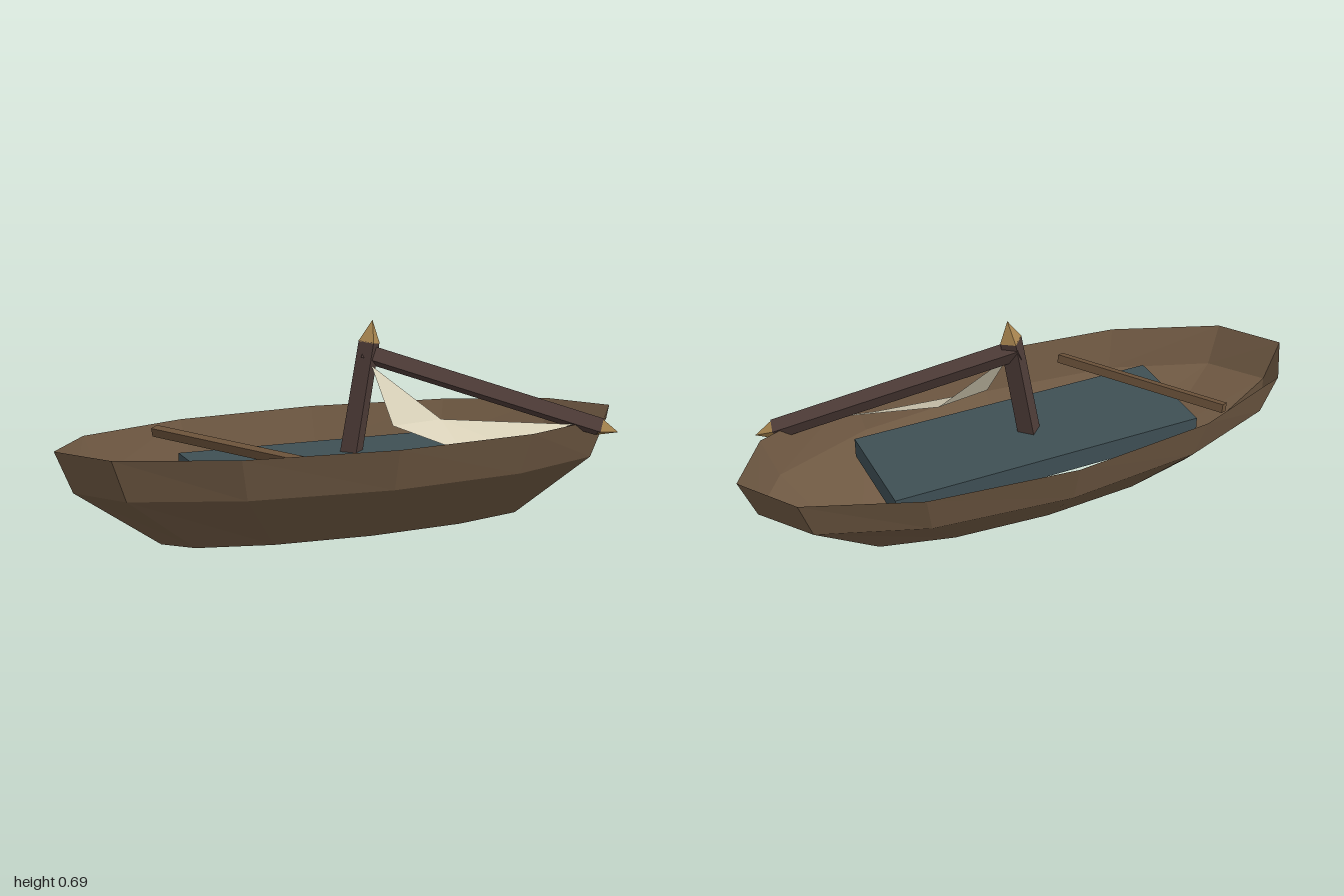
import * as THREE from 'three';

const mat = (name, color, extra = {}) => {
  const m = new THREE.MeshStandardMaterial({ color, flatShading: true, ...extra });
  m.name = name;
  return m;
};

export function createModel() {
  const hullWood = mat('hull brown', 0x6e5842, { side: THREE.DoubleSide });
  const deckPaint = mat('deck slate', 0x3e4f54);
  const sparWood = mat('dark spar wood', 0x4e3c38);
  const tipMetal = mat('tan tip', 0xa8854f);
  const oarWood = mat('oar wood', 0x6b523a);
  const sailCloth = mat('sail cloth', 0xd8d0b8, { side: THREE.DoubleSide });

  const boat = new THREE.Group();
  boat.name = 'boat';
  const add = (name, geometry, material) => {
    const mesh = new THREE.Mesh(geometry, material);
    mesh.name = name;
    boat.add(mesh);
    return mesh;
  };

  // Four-sided bar running from a to b
  const bar = (name, a, b, r0, r1, material) => {
    const start = new THREE.Vector3(...a), end = new THREE.Vector3(...b);
    const dir = end.clone().sub(start);
    const mesh = add(name, new THREE.CylinderGeometry(r1, r0, dir.length(), 4), material);
    mesh.position.copy(start).add(end).multiplyScalar(0.5);
    mesh.quaternion.setFromUnitVectors(new THREE.Vector3(0, 1, 0), dir.normalize());
    return mesh;
  };

  // Hull: open twelve-sided shell, rings of [y, half length, half width]
  const rings = [[0, 0.667, 0.167], [0.197, 0.945, 0.35], [0.335, 1, 0.39]];
  const hull = new THREE.LatheGeometry(rings.map(([y, l]) => new THREE.Vector2(l, y)), 12);
  const pos = hull.attributes.position;
  for (let i = 0; i < pos.count; i++) {
    const [, length, width] = rings[i % rings.length];
    pos.setZ(i, pos.getZ(i) * width / length);
  }
  hull.computeVertexNormals();
  add('hull', hull, hullWood);

  // Deck slab
  add('deck', new THREE.BoxGeometry(1.1, 0.07, 0.38), deckPaint).position.y = 0.217;

  // Leaning mast and its pointed cap
  bar('mast', [-0.008, 0.22, -0.003], [0.061, 0.618, -0.003], 0.041, 0.038, sparWood);
  bar('mastTip', [0.061, 0.616, -0.003], [0.073, 0.69, -0.003], 0.039, 0, tipMetal);

  // Fallen yard and its pointed end
  bar('yard', [0.04, 0.582, -0.015], [0.80, 0.32, 0.26], 0.035, 0.035, sparWood);
  bar('yardTip', [0.795, 0.321, 0.258], [0.86, 0.301, 0.282], 0.035, 0, tipMetal);

  // Oar lying across the boat
  bar('oar', [-0.61, 0.319, -0.26], [-0.27, 0.295, 0.30], 0.021, 0.021, oarWood);

  // Slumped sail: creased fan around an inner fold
  const fold = [0.28, 0.357, 0.10];
  const edge = [
    [0.06, 0.54, 0.02], [0.09, 0.355, 0.13], [0.28, 0.28, 0.26],
    [0.45, 0.285, 0.27], [0.70, 0.335, 0.25],
  ];
  const corners = [];
  for (let i = 0; i < edge.length - 1; i++) corners.push(...edge[i], ...edge[i + 1], ...fold);
  const sail = new THREE.BufferGeometry();
  sail.setAttribute('position', new THREE.Float32BufferAttribute(corners, 3));
  sail.computeVertexNormals();
  add('sail', sail, sailCloth);

  return boat;
}
